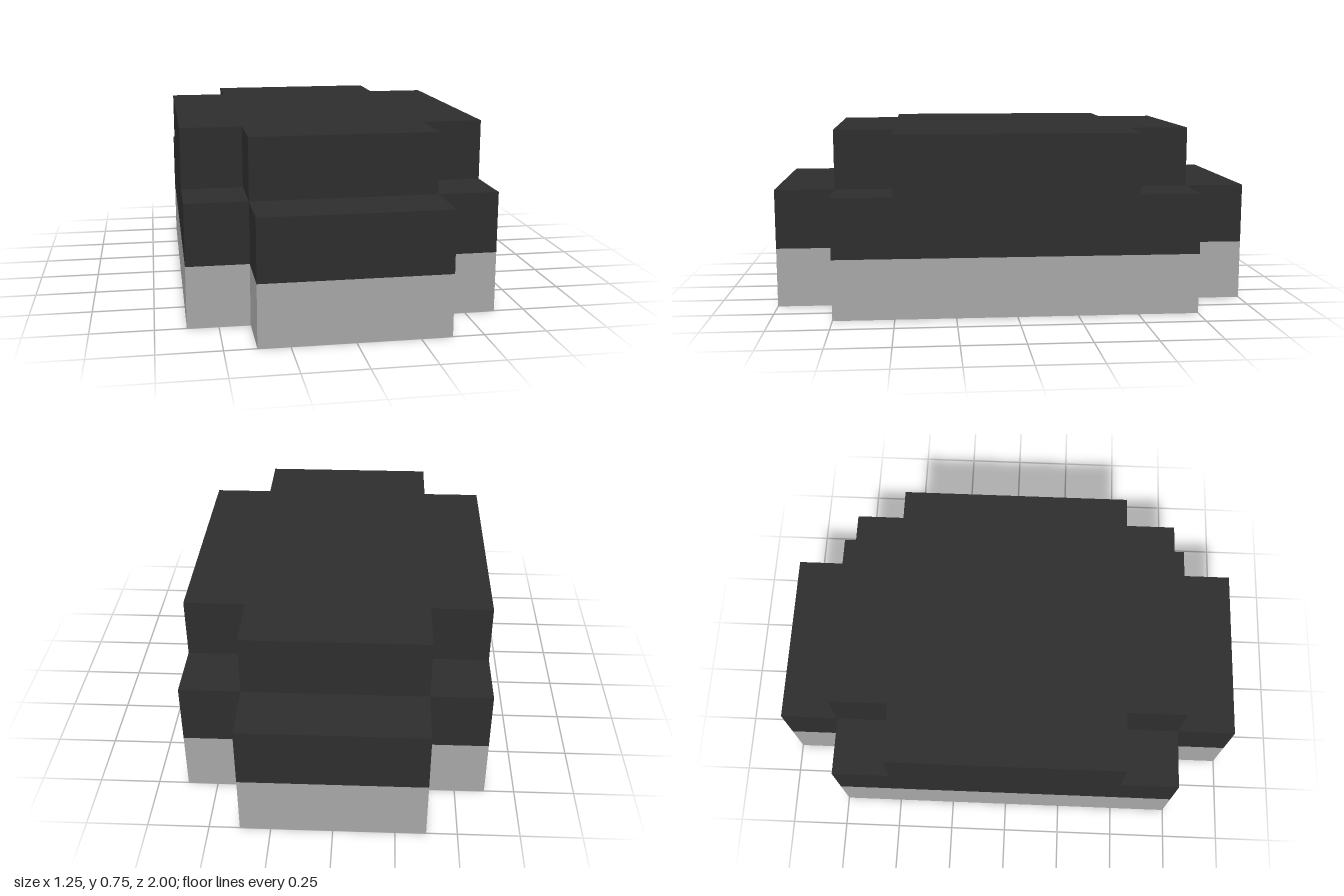
import * as THREE from 'three';

const pale = new THREE.MeshStandardMaterial({ color: 0xa6a6a6 });
pale.name = 'pale grey';
const dark = new THREE.MeshStandardMaterial({ color: 0x2d2d2d });
dark.name = 'charcoal';

// Block with a rectangular plan whose four corners are notched by a square step
function notchedSlab(name, halfX, halfZ, bottom, top, material) {
  const notch = 0.25;
  const ix = halfX - notch, iz = halfZ - notch;
  const outline = new THREE.Shape([
    [ix, -halfZ], [ix, -iz], [halfX, -iz], [halfX, iz], [ix, iz], [ix, halfZ],
    [-ix, halfZ], [-ix, iz], [-halfX, iz], [-halfX, -iz], [-ix, -iz], [-ix, -halfZ],
  ].map(([x, z]) => new THREE.Vector2(x, z)));
  const geometry = new THREE.ExtrudeGeometry(outline, { depth: top - bottom, bevelEnabled: false });
  geometry.rotateX(-Math.PI / 2);
  geometry.translate(0, bottom, 0);
  const mesh = new THREE.Mesh(geometry, material);
  mesh.name = name;
  return mesh;
}

export function createModel() {
  const model = new THREE.Group();
  model.name = 'steppedBlock';
  model.add(
    notchedSlab('base', 0.625, 1, 0, 0.25, pale),
    notchedSlab('lowerTier', 0.625, 1, 0.25, 0.5, dark),
    notchedSlab('upperTier', 0.625, 0.75, 0.5, 0.75, dark),
  );
  return model;
}
